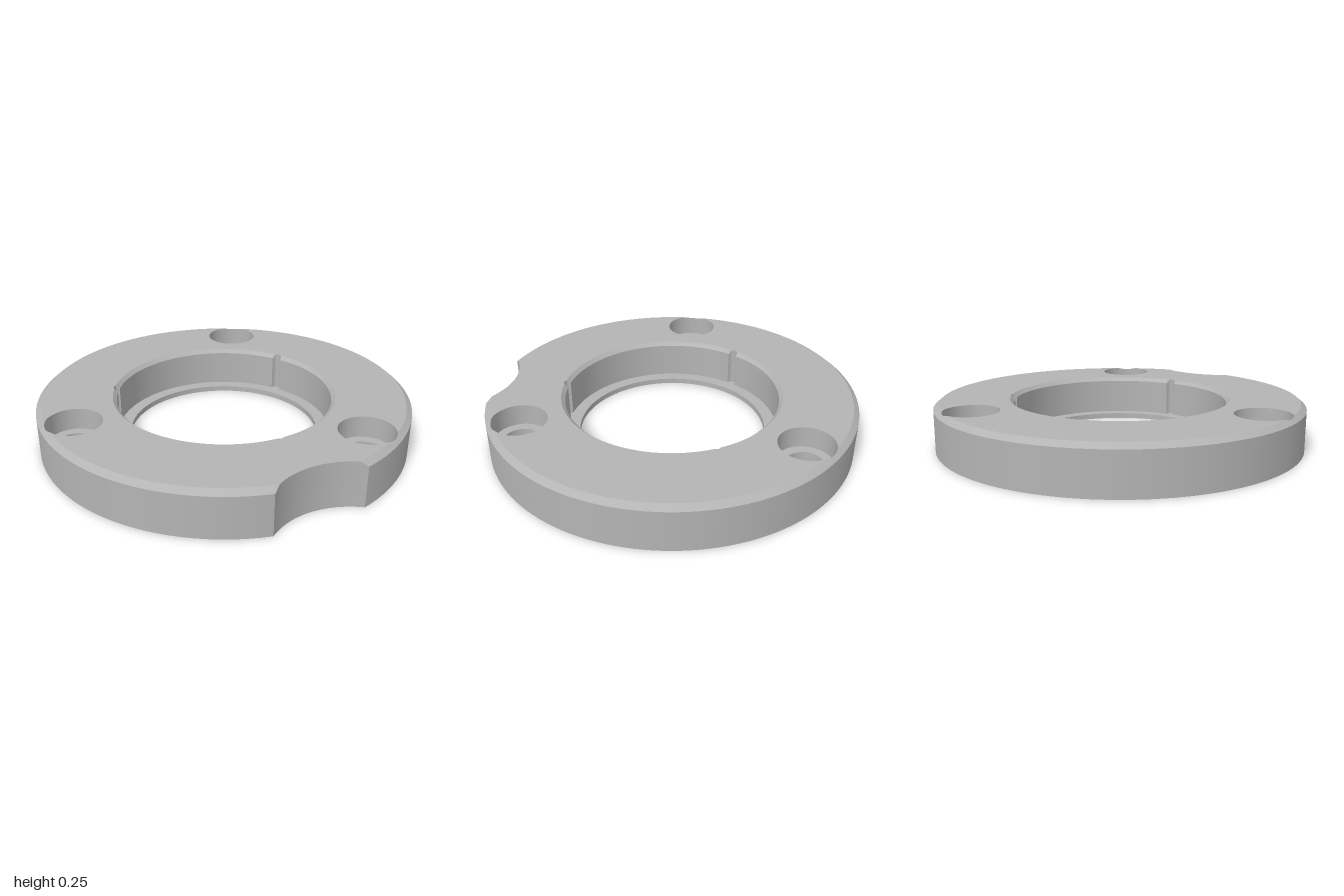
import * as THREE from 'three';
import { toCreasedNormals } from 'three/addons/utils/BufferGeometryUtils.js';

const H = 0.245;                          // full height
const EDGE = 0.97, CHAMFER = 0.025;       // top face radius, chamfer drop
const NOTCH = { c: 1.305, r: 0.415 };     // cylindrical cut in the front rim
const BOLT = { d: 0.835, r: 0.144, hole: 0.093, angles: [Math.PI / 3, Math.PI, -Math.PI / 3] };
const GROOVE = { d: 0.585, r: 0.022, angles: [Math.PI / 2, -Math.PI / 6, Math.PI * 7 / 6] };

// Radius at which a ray from the centre leaves the furthest of a set of circles (0 if it misses)
function reach(theta, set) {
  let best = 0;
  for (const a of set.angles) {
    const s = set.r ** 2 - (set.d * Math.sin(theta - a)) ** 2;
    if (s >= 0 && Math.cos(theta - a) > 0) best = Math.max(best, set.d * Math.cos(theta - a) + Math.sqrt(s));
  }
  return best;
}

// All outlines are lists of [x, z], running from +x towards +z
function circle(r, cx = 0, cz = 0, n = 96) {
  return Array.from({ length: n }, (_, i) => {
    const t = (i / n) * Math.PI * 2;
    return [cx + r * Math.cos(t), cz + r * Math.sin(t)];
  });
}

// Outer rim with the front notch; the counterbores may push it outwards a little
function rimOutline(R) {
  const alpha = Math.acos((R * R + NOTCH.c ** 2 - NOTCH.r ** 2) / (2 * R * NOTCH.c));
  const beta = Math.asin((R * Math.sin(alpha)) / NOTCH.r);
  const pts = [], n = 480, m = 32;
  for (let i = 0; i <= n; i++) {
    const t = Math.PI / 2 + alpha + (i / n) * (Math.PI * 2 - 2 * alpha);
    const far = reach(t, BOLT);
    const r = far > R ? far + 0.001 : R;
    pts.push([r * Math.cos(t), r * Math.sin(t)]);
  }
  for (let i = 1; i < m; i++) {
    const b = beta * (1 - (2 * i) / m);
    pts.push([NOTCH.r * Math.sin(b), NOTCH.c - NOTCH.r * Math.cos(b)]);
  }
  return pts;
}

// Bore with its three small vertical grooves
function boreOutline(R, n = 720) {
  return Array.from({ length: n }, (_, i) => {
    const t = (i / n) * Math.PI * 2;
    const r = Math.max(R, reach(t, GROOVE));
    return [r * Math.cos(t), r * Math.sin(t)];
  });
}

// Height of the top surface, which falls away past the chamfer edge
function topY(x, z) {
  return H - Math.max(0, Math.hypot(x, z) - EDGE) * (CHAMFER / (1 - EDGE));
}
const at = (pts, y) => pts.map(([x, z]) => [x, y, z]);
const onTop = (pts) => pts.map(([x, z]) => [x, topY(x, z), z]);

// Wall through rings: bottom to top faces outwards, top to bottom faces inwards
function wall(...rings) {
  const pos = [];
  for (let k = 0; k + 1 < rings.length; k++) {
    const a = rings[k], b = rings[k + 1], n = a.length;
    for (let i = 0; i < n; i++) {
      const j = (i + 1) % n;
      pos.push(...a[i], ...b[i], ...a[j], ...a[j], ...b[i], ...b[j]);
    }
  }
  const g = new THREE.BufferGeometry();
  g.setAttribute('position', new THREE.Float32BufferAttribute(pos, 3));
  return toCreasedNormals(g, 0.5);
}

// Horizontal face with holes, looking up or down
function flat(outer, holes, y, up) {
  const s = up ? -1 : 1;
  const vec = (pts) => pts.map(([x, z]) => new THREE.Vector2(x, s * z));
  const shape = new THREE.Shape(vec(outer));
  shape.holes = holes.map((h) => new THREE.Path(vec(h)));
  const g = new THREE.ShapeGeometry(shape);
  g.rotateX((s * Math.PI) / 2);
  g.translate(0, y, 0);
  return g;
}

export function createModel() {
  const model = new THREE.Group();
  model.name = 'flangeRing';
  const metal = new THREE.MeshStandardMaterial({ color: 0xb4b4b4 });
  metal.name = 'grey metal';
  const ring = new THREE.Group();
  ring.name = 'ring';
  ring.position.z = 0.0155;
  model.add(ring);
  const add = (name, geometry) => {
    const mesh = new THREE.Mesh(geometry, metal);
    mesh.name = name;
    ring.add(mesh);
  };

  const centres = BOLT.angles.map((a) => [BOLT.d * Math.cos(a), BOLT.d * Math.sin(a)]);
  const sinks = centres.map(([x, z]) => circle(BOLT.r, x, z));
  const bores = centres.map(([x, z]) => circle(BOLT.hole, x, z));
  const lip = circle(0.513, 0, 0, 180);
  const rim = rimOutline(1), rimTop = rimOutline(EDGE);
  const bore = boreOutline(0.58), boreTop = boreOutline(0.6);
  const ledgeY = 0.03, sinkY = 0.13, recessY = 0.02;

  // Outside wall and chamfer
  add('outerWall', wall(at(rim, 0), at(rim, H - CHAMFER), onTop(rimTop)));

  // Top and bottom faces
  const top = flat(rimTop, [boreTop, ...sinks], H, true);
  const p = top.attributes.position;
  for (let i = 0; i < p.count; i++) p.setY(i, topY(p.getX(i), p.getZ(i)));
  add('topFace', top);
  add('bottomFace', flat(rim, [lip, ...sinks], 0, false));

  // Central bore, ledge and lip
  add('boreWall', wall(at(boreTop, H), at(bore, H - 0.02), at(bore, ledgeY)));
  add('boreLedge', flat(bore, [lip], ledgeY, true));
  add('boreLip', wall(at(lip, ledgeY), at(lip, 0)));

  // Bolt holes: deep counterbore above, shallow recess below
  sinks.forEach((sink, i) => {
    add('counterboreWall', wall(onTop(sink), at(sink, sinkY)));
    add('counterboreFloor', flat(sink, [bores[i]], sinkY, true));
    add('boltHole', wall(at(bores[i], sinkY), at(bores[i], recessY)));
    add('recessFloor', flat(sink, [bores[i]], recessY, false));
    add('recessWall', wall(at(sink, recessY), at(sink, 0)));
  });
  return model;
}
